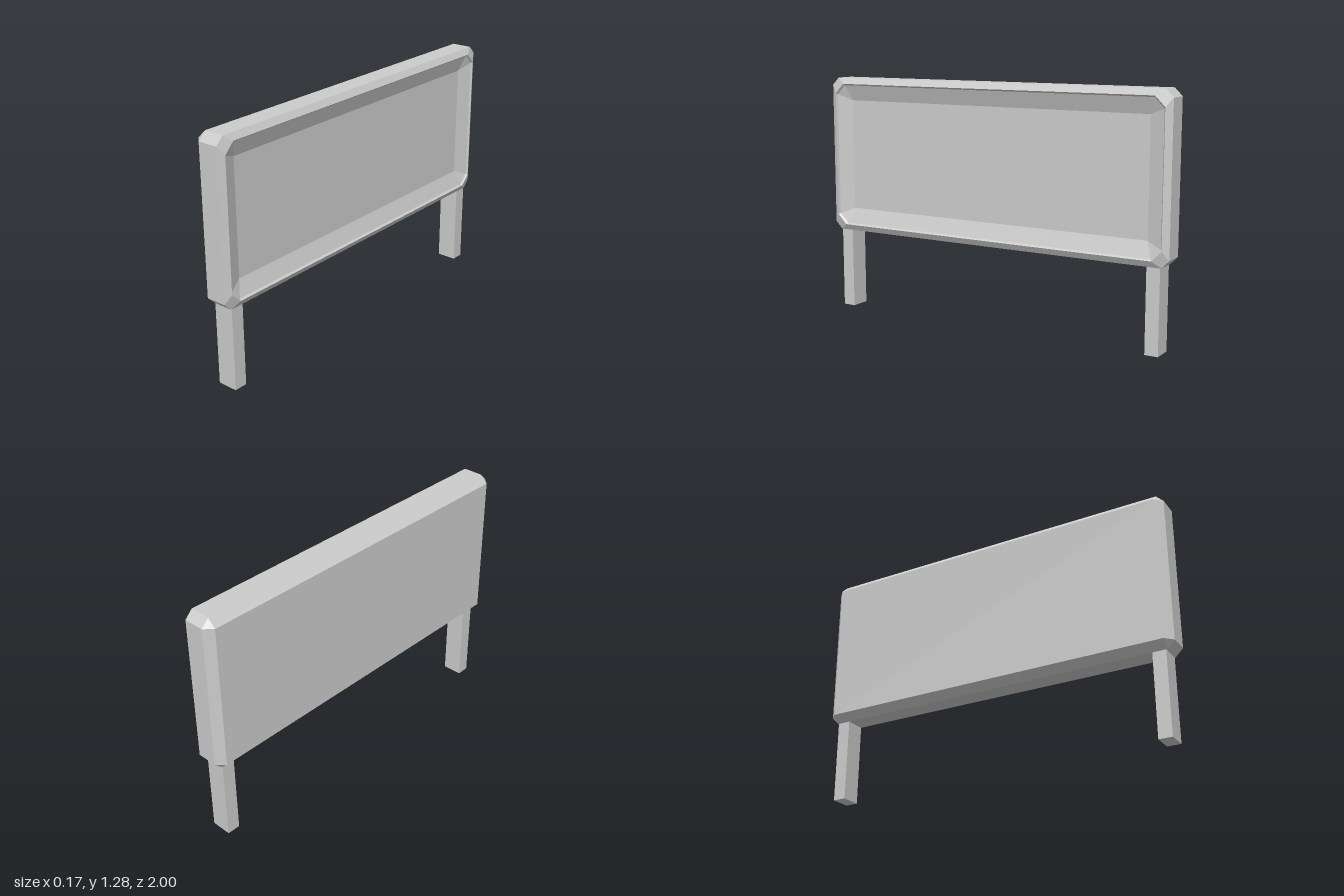
import * as THREE from 'three';

const material = new THREE.MeshStandardMaterial({ color: 0xcccccc, flatShading: true });
const MID_Y = 0.8575;

// Chamfered rectangle at depth x: half length along z, half height, corner cut.
function ring(x, halfLength, halfHeight, cut) {
  const points = [];
  for (const [su, sv] of [[1, -1], [1, 1], [-1, 1], [-1, -1]]) {
    const alongEnd = new THREE.Vector3(x, MID_Y + sv * (halfHeight - cut), -su * halfLength);
    const alongSide = new THREE.Vector3(x, MID_Y + sv * halfHeight, -su * (halfLength - cut));
    points.push(...(su * sv < 0 ? [alongSide, alongEnd] : [alongEnd, alongSide]));
  }
  return points;
}

// Skins consecutive rings and closes the first and last with flat caps.
function loft(rings) {
  const corners = [];
  const triangle = (a, b, c) => {
    const area = b.clone().sub(a).cross(c.clone().sub(a)).length();
    if (area > 1e-8) corners.push(a, b, c);
  };
  for (let i = 0; i < rings.length - 1; i++) {
    const a = rings[i], b = rings[i + 1];
    for (let j = 0; j < 8; j++) {
      const k = (j + 1) % 8;
      triangle(a[j], a[k], b[k]);
      triangle(a[j], b[k], b[j]);
    }
  }
  const first = rings[0], last = rings[rings.length - 1];
  for (let j = 1; j < 7; j++) {
    triangle(first[0], first[j + 1], first[j]);
    triangle(last[0], last[j], last[j + 1]);
  }
  const geometry = new THREE.BufferGeometry().setFromPoints(corners);
  geometry.computeVertexNormals();
  return geometry;
}

export function createModel() {
  const group = new THREE.Group();
  group.name = 'panelOnPosts';

  // Bevelled board with a shallow dished recess on the +x side
  const board = new THREE.Mesh(loft([
    ring(-0.084, 0.96, 0.3825, 0),        // flat back
    ring(-0.043, 1, 0.4225, 0.04),        // back bevel
    ring(0.065, 1, 0.4225, 0.04),         // outer wall
    ring(0.084, 0.967, 0.39, 0.052),      // rim bevel
    ring(0.074, 0.96, 0.382, 0.05),       // inner lip
    ring(0.045, 0.88, 0.3, 0),            // dished slope, then floor
  ]), material);
  board.name = 'board';
  group.add(board);

  // Two posts
  for (const side of [1, -1]) {
    const post = new THREE.Mesh(new THREE.BoxGeometry(0.108, 0.435, 0.07), material);
    post.position.set(0.011, 0.2175, side * 0.92);
    post.name = side > 0 ? 'frontPost' : 'backPost';
    group.add(post);
  }
  return group;
}
